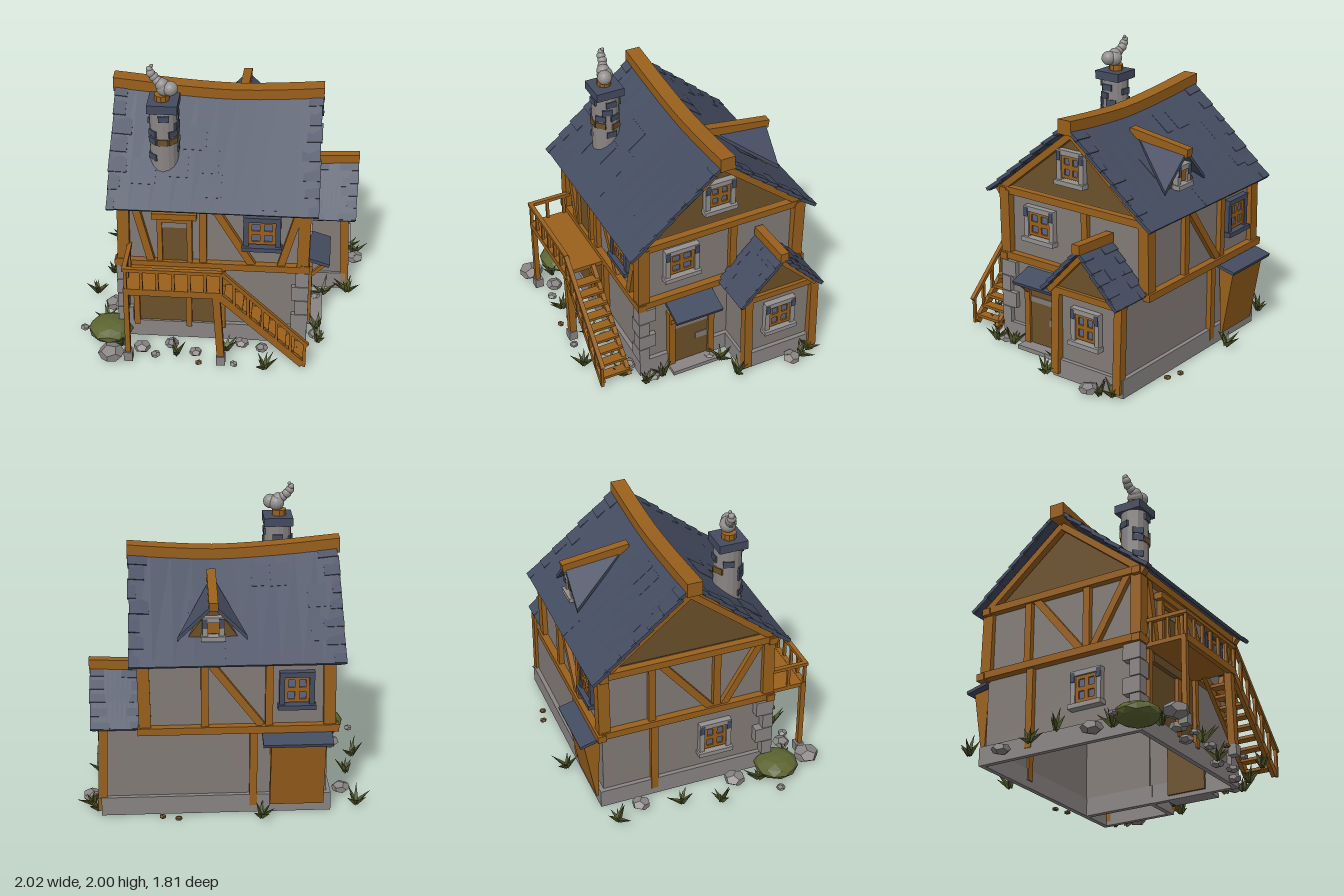
import * as THREE from 'three';
import { ConvexGeometry } from 'three/addons/geometries/ConvexGeometry.js';

const mat = (name, color, side = THREE.FrontSide) => {
  const m = new THREE.MeshStandardMaterial({ color, side, flatShading: true });
  m.name = name;
  return m;
};
const WOOD = mat('wood', 0x99601c), PANEL = mat('darkWood', 0x6c512a), WALL = mat('plaster', 0x837c78, THREE.DoubleSide);
const STONE = mat('stone', 0x898584), PALE = mat('paleStone', 0x949190), SLATE = mat('slate', 0x444c60), GLASS = mat('glass', 0x586689);
const GREEN = mat('moss', 0x5c6431), LEAF = mat('leaf', 0x4e5629, THREE.DoubleSide);

let seed = 7;
const rnd = (a = 0, b = 1) => {
  seed = (seed * 16807) % 2147483647;
  return a + (b - a) * seed / 2147483647;
};

export function createModel() {
  const root = new THREE.Group();
  root.name = 'cottage';
  const add = (name, geo, m, parent = root) => {
    const mesh = new THREE.Mesh(geo, m);
    mesh.name = name;
    parent.add(mesh);
    return mesh;
  };
  const group = (name) => {
    const g = new THREE.Group();
    g.name = name;
    root.add(g);
    return g;
  };
  const V = (...p) => new THREE.Vector3(...p);
  // Box given by its min and max on each axis
  const box = (name, m, x0, x1, y0, y1, z0, z1, parent = root) => {
    const b = add(name, new THREE.BoxGeometry(x1 - x0, y1 - y0, z1 - z0), m, parent);
    b.position.set((x0 + x1) / 2, (y0 + y1) / 2, (z0 + z1) / 2);
    return b;
  };
  // Timber between two points
  const beam = (name, a, b, w = 0.045, h = w, m = WOOD, parent = root) => {
    const A = V(...a), B = V(...b), d = B.clone().sub(A);
    const mesh = add(name, new THREE.BoxGeometry(w, h, d.length()), m, parent);
    mesh.position.copy(A).add(B).multiplyScalar(0.5);
    if (Math.abs(d.x) + Math.abs(d.z) < 0.02) mesh.up.set(0, 0, 1);
    mesh.lookAt(B);
    return mesh;
  };
  // Four walls, open above and below
  const shell = (name, ...r) => {
    const g = box(name, WALL, ...r).geometry;
    g.setIndex([...g.index.array].filter((_, i) => i < 12 || i > 23));
    g.clearGroups();
  };
  // Low ring of masonry around a wall
  const plinth = (x0, x1, z0, z1, t = 0.035) => {
    for (const z of [z0, z1 - t]) box('plinth', STONE, x0, x1, 0, 0.13, z, z + t);
    for (const x of [x0, x1 - t]) box('plinth', STONE, x, x + t, 0, 0.13, z0 + t, z1 - t);
  };
  // Triangular gable block running along x
  const gable = (name, x0, x1, zA, zB, y0, zTop, yTop) => add(name, new ConvexGeometry(
    [x0, x1].flatMap(x => [V(x, y0, zA), V(x, y0, zB), V(x, yTop, zTop)])), PANEL);

  // One slope: a broad slab, stepped slates at both ends, a few loose slates
  const slope = (name, x0, x1, [z0, y0], [z1, y1], courses, loose, sag) => {
    const g = group(name);
    const plate = (part, xa, xb, t0, t1, liftLow, liftHigh) => {
      const az = z0 + (z1 - z0) * t0, ay = y0 + (y1 - y0) * t0 + liftLow;
      const bz = z0 + (z1 - z0) * t1, by = y0 + (y1 - y0) * t1 + liftHigh;
      const geo = new THREE.BoxGeometry(xb - xa, 0.024, Math.hypot(bz - az, by - ay), 10, 1, 1);
      geo.rotateX(Math.atan2(ay - by, bz - az));
      geo.translate((xa + xb) / 2, (ay + by) / 2 - 0.01, (az + bz) / 2);
      const p = geo.attributes.position;
      for (let v = 0; v < p.count; v++) p.setY(v, p.getY(v) + sag(p.getX(v)) * (p.getY(v) - y0) / (y1 - y0));
      add(part, geo, SLATE, g);
    };
    plate('roofSlab', x0 + 0.012, x1 - 0.012, 0.005, 1, 0.008, 0.004);
    for (let i = 0; i < courses; i++) for (const s of [0, 1]) {
      const w = rnd(0.05, 0.14), x = s ? x1 - w + rnd(-0.006, 0.006) : x0 + rnd(-0.006, 0.006);
      plate('edgeSlate', x, x + w, i / courses + rnd(-0.012, 0.01), Math.min(1, (i + 1.2) / courses), 0.015, 0);
    }
    for (let i = 0; i < loose; i++) {
      const x = rnd(x0 + 0.1, x1 - 0.3), t = rnd(0, 0.75);
      plate('looseSlate', x, x + rnd(0.1, 0.2), t, t + 0.2, 0.011, 0.008);
    }
  };
  const ridge = (name, x0, x1, y, z, w, h, sag) => {
    const geo = new THREE.BoxGeometry(x1 - x0, h, w, 10, 1, 1).translate((x0 + x1) / 2, y, z);
    const p = geo.attributes.position;
    for (let v = 0; v < p.count; v++) p.setY(v, p.getY(v) + sag(p.getX(v)));
    add(name, geo, WOOD);
  };
  // Window facing +z, turned by ry
  const windowAt = (name, x, y, z, ry, w, h, frame) => {
    const g = group(name), a = w / 2, b = h / 2, t = 0.035;
    g.position.set(x, y, z);
    g.rotation.y = ry;
    box('pane', GLASS, -a + t, a - t, -b + t, b - t, -0.01, 0.015, g);
    for (const s of [-1, 1]) {
      box('jamb', frame, s * (a - t / 2) - t / 2, s * (a - t / 2) + t / 2, -b, b, -0.03, 0.035, g);
      box('sashSide', WOOD, s * (a - t - 0.011) - 0.011, s * (a - t - 0.011) + 0.011, -b + t, b - t, -0.02, 0.025, g);
      box('sashRail', WOOD, -a + t, a - t, s * (b - t - 0.011) - 0.011, s * (b - t - 0.011) + 0.011, -0.02, 0.025, g);
    }
    box('lintel', frame, -a, a, b - t, b, -0.03, 0.04, g);
    box('sill', frame, -a - 0.01, a + 0.01, -b - 0.01, -b + 0.022, -0.03, 0.055, g);
    box('mullion', WOOD, -0.015, 0.015, -b + t, b - t, -0.02, 0.025, g);
    box('crossbar', WOOD, -a + t, a - t, -0.015, 0.015, -0.02, 0.025, g);
    if (frame === PALE) for (const s of [-1, 1]) box('frameCap', SLATE, s * (a - t / 2) - 0.016, s * (a - t / 2) + 0.016, b - 0.075, b - 0.01, 0.03, 0.042, g);
  };

  // Main walls, plinth and gables
  plinth(-0.67, 0.6, -0.75, 0.49);
  shell('lowerWalls', -0.64, 0.57, 0.1, 0.62, -0.72, 0.46);
  shell('upperWalls', -0.65, 0.555, 0.6, 1.13, -0.72, 0.455);
  gable('mainGable', -0.63, 0.555, 0.47, -0.71, 1.11, -0.12, 1.58);

  // Floor beams, eave beams, corner posts
  for (const [y, zs] of [[0.615, [0.47, -0.74]], [1.09, [0.47, -0.715]]]) {
    for (const z of zs) beam('longBeam', [-0.71, y, z], [0.61, y, z], 0.06, 0.05);
    for (const x of [-0.67, 0.575]) beam('crossBeam', [x, y + 0.01, 0.5], [x, y + 0.01, -0.74], 0.06, 0.05);
  }
  for (const x of [-0.65, 0.56]) {
    for (const z of [0.455, -0.715]) beam('cornerPost', [x, 0.6, z], [x + 0.01, 1.1, z], 0.08);
    for (const z of [0.52, -0.75]) beam('bargeBoard', [x * 1.03, 1.075, z], [x * 1.03, 1.59, -0.12], 0.05, 0.045);
  }
  // Timber framing: front, back, sides
  const framing = [
    [[-0.11, 0.62, 0.465], [-0.11, 1.1, 0.465]], [[-0.05, 1.1, 0.465], [0.22, 0.63, 0.465]],
    [[-0.57, 1.1, 0.465], [-0.46, 0.62, 0.465]], [[0.54, 1.1, 0.465], [0.41, 0.62, 0.465]],
    [[0.17, 0.62, -0.73], [0.17, 1.09, -0.73]], [[-0.25, 0.62, -0.73], [-0.25, 1.09, -0.73]],
    [[0.14, 1.09, -0.73], [-0.2, 0.64, -0.73]],
    [[-0.15, 0.05, -0.73], [-0.15, 0.6, -0.73]], [[0.565, 0.62, -0.22], [0.565, 1.1, -0.22]],
    [[-0.66, 0.62, -0.38], [-0.66, 1.1, -0.38]], [[-0.66, 0.62, 0.08], [-0.66, 1.1, 0.08]],
    [[-0.66, 1.1, -0.33], [-0.66, 0.64, 0.04]], [[-0.66, 1.1, 0.4], [-0.66, 0.64, 0.13]],
    [[-0.65, 0.05, -0.36], [-0.65, 0.6, -0.36]],
  ];
  for (const [a, b] of framing) beam('frameTimber', a, b, 0.05, 0.05);

  // Main roof with sagging ridge
  const sag = x => -0.06 * Math.max(0, 1 - Math.abs((x - 0.06) / 0.8) ** 1.5);
  slope('frontRoof', -0.745, 0.655, [0.57, 1.085], [-0.12, 1.685], 7, 6, sag);
  slope('backRoof', -0.745, 0.655, [-0.805, 1.085], [-0.12, 1.685], 7, 6, sag);
  ridge('ridgeBeam', -0.76, 0.66, 1.675, -0.12, 0.105, 0.1, sag);

  // Back dormer
  const r0 = V(0.11, 1.475, -0.7), r1 = V(0.1, 1.52, -0.28);
  for (const e of [V(-0.11, 1.25, -0.69), V(0.34, 1.25, -0.69)]) {
    const top = [r0, r1, e], low = top.map(p => p.clone().add(V(0, -0.03, 0)));
    add('dormerSlope', new ConvexGeometry([...top, ...low]), SLATE);
  }
  add('dormerGable', new ConvexGeometry([V(-0.07, 1.2, -0.64), V(0.29, 1.2, -0.64), V(0.11, 1.45, -0.64), V(0.11, 1.44, -0.33)]), PANEL);
  beam('dormerRidge', [0.11, 1.46, -0.72], [0.105, 1.525, -0.25], 0.06, 0.06);
  windowAt('dormerWindow', 0.11, 1.3, -0.645, Math.PI, 0.14, 0.15, PALE);

  // Side annex
  const tilt = x => 0.05 * (x - 0.92);
  plinth(0.56, 0.86, -0.75, -0.17);
  shell('annexWalls', 0.56, 0.83, 0.1, 0.64, -0.72, -0.19);
  gable('annexGable', 0.57, 0.84, -0.16, -0.7, 0.61, -0.42, 0.89);
  slope('annexFrontRoof', 0.575, 0.92, [-0.115, 0.62], [-0.42, 0.955], 5, 1, tilt);
  slope('annexBackRoof', 0.575, 0.92, [-0.735, 0.62], [-0.42, 0.955], 5, 1, tilt);
  ridge('annexRidge', 0.57, 0.925, 0.97, -0.42, 0.06, 0.065, tilt);
  beam('annexBeam', [0.84, 0.62, -0.16], [0.84, 0.62, -0.7], 0.05, 0.045);
  for (const z of [-0.2, -0.71]) {
    beam('annexPost', [0.855, 0.03, z], [0.835, 0.62, z], 0.06);
    beam('annexRafter', [0.86, 0.61, z + (z > -0.4 ? 0.05 : 0)], [0.86, 0.9, -0.42], 0.035);
  }

  // Windows
  windowAt('frontWindow', 0.285, 0.895, 0.46, 0, 0.25, 0.25, SLATE);
  windowAt('rightWindow', 0.56, 0.9, 0.165, Math.PI / 2, 0.25, 0.24, PALE);
  windowAt('gableWindow', 0.56, 1.36, -0.11, Math.PI / 2, 0.22, 0.23, PALE);
  windowAt('annexWindow', 0.835, 0.41, -0.445, Math.PI / 2, 0.23, 0.25, PALE);
  windowAt('backWindow', -0.43, 0.89, -0.725, Math.PI, 0.23, 0.25, SLATE);
  windowAt('leftWindow', -0.645, 0.37, 0.08, -Math.PI / 2, 0.23, 0.25, PALE);

  // Upper front door
  box('upperDoor', PANEL, -0.4, -0.2, 0.62, 0.99, 0.44, 0.475);
  box('doorPatch', WALL, -0.39, -0.21, 0.905, 0.945, 0.474, 0.48);
  for (const x of [-0.4, -0.2]) beam('doorJamb', [x, 0.62, 0.47], [x, 0.99, 0.47], 0.035, 0.05);
  beam('doorHead', [-0.4, 0.97, 0.475], [-0.2, 0.97, 0.475], 0.05, 0.03);
  beam('doorLintel', [-0.45, 1.01, 0.48], [-0.15, 1.01, 0.48], 0.07, 0.045);
  // Lower front store doors
  box('storeDoor', PANEL, -0.56, 0.02, 0.13, 0.57, 0.44, 0.475);
  box('storeLintel', PANEL, -0.54, -0.18, 0.5, 0.56, 0.46, 0.505);
  for (const x of [-0.57, -0.21, 0.02]) beam('storePost', [x, 0.1, 0.48], [x, x === -0.21 ? 0.5 : 0.6, 0.48], 0.04);
  // Side door with canopy
  box('sideDoor', PANEL, 0.55, 0.605, 0.03, 0.48, -0.04, 0.25);
  box('sideDoorPatch', WALL, 0.604, 0.611, 0.34, 0.38, -0.02, 0.23);
  box('sideDoorPatch', WALL, 0.604, 0.611, 0.19, 0.24, -0.02, 0.07);
  for (const z of [0.255, -0.045]) {
    beam('sideJamb', [0.6, 0.02, z], [0.6, 0.5, z], 0.045);
    beam('canopyBrace', [0.6, 0.4, z], [0.71, 0.51, z], 0.025);
  }
  beam('sideLintel', [0.6, 0.48, 0.28], [0.6, 0.48, -0.07], 0.05, 0.04);
  beam('canopy', [0.57, 0.56, 0.105], [0.74, 0.505, 0.105], 0.35, 0.025, SLATE);
  box('doorStep', STONE, 0.58, 0.7, 0, 0.03, -0.06, 0.28);
  // Rear hatch and its roof
  add('hatch', new ConvexGeometry([-0.62, -0.26].flatMap(x => [V(x, 0.06, -0.75), V(x, 0.06, -0.765), V(x, 0.56, -0.73), V(x, 0.54, -0.845)])), WOOD);
  beam('hatchRoof', [-0.435, 0.585, -0.72], [-0.435, 0.545, -0.88], 0.46, 0.022, SLATE);

  // Corner stones
  for (const [x, s] of [[-0.65, -1], [0.575, 1]]) for (let i = 0; i < 4; i++) {
    const w = i % 2 ? 0.06 : 0.085;
    box('cornerStone', STONE, s < 0 ? x - 0.05 : x - w, s < 0 ? x + w - 0.03 : x + 0.03, 0.13 + i * 0.115, 0.24 + i * 0.115, 0.42 - (i % 2) * 0.05, 0.495);
  }

  // Balcony
  for (let i = 0; i < 4; i++) box('deckBoard', WOOD, -0.615, 0.02, 0.572, 0.602, 0.47 + i * 0.076, 0.546 + i * 0.076);
  beam('deckEdge', [-0.61, 0.58, 0.765], [0.04, 0.58, 0.765], 0.035, 0.05);
  beam('balconyRail', [-0.62, 0.755, 0.77], [0.055, 0.755, 0.77], 0.03, 0.025);
  beam('balconySideRail', [-0.605, 0.755, 0.78], [-0.605, 0.755, 0.47], 0.03, 0.025);
  for (let i = 0; i < 7; i++) beam('baluster', [-0.6 + i * 0.106, 0.59, 0.77], [-0.6 + i * 0.106, 0.755, 0.77], 0.02);
  for (const z of [0.52, 0.645]) beam('baluster', [-0.605, 0.59, z], [-0.605, 0.755, z], 0.02);
  beam('balconyPost', [-0.6, 0.05, 0.76], [-0.6, 0.6, 0.76], 0.035);
  beam('balconyPost', [0.03, 0.05, 0.75], [0, 0.58, 0.75], 0.05);
  for (const x of [-0.6, 0.03]) box('postStone', STONE, x - 0.03, x + 0.03, 0, 0.07, 0.725, 0.785);

  // Stairs and handrail
  for (const z of [0.57, 0.765]) beam('stringer', [0.01, 0.585, z], [0.585, 0.035, z], 0.03, 0.05);
  for (let i = 0; i < 9; i++) box('tread', WOOD, 0.05 + i * 0.058, 0.12 + i * 0.058, 0.515 - i * 0.056, 0.535 - i * 0.056, 0.56, 0.765);
  beam('handrail', [0.04, 0.765, 0.775], [0.615, 0.205, 0.775], 0.03, 0.025);
  for (let i = 0; i < 6; i++) {
    const x = 0.12 + i * 0.095;
    beam('stairBaluster', [x, 0.48 - (x - 0.12) * 0.957, 0.775], [x, 0.69 - (x - 0.12) * 0.975, 0.775], 0.02);
  }

  // Chimney with inset bricks, pot and smoke: brick height, angle, brown or slate
  const cx = -0.38, cz = 0.265;
  add('chimney', new THREE.CylinderGeometry(0.094, 0.098, 0.58, 16), STONE).position.set(cx, 1.43, cz);
  box('chimneyCap', SLATE, cx - 0.1, cx + 0.1, 1.7, 1.76, cz - 0.1, cz + 0.1);
  add('chimneyPot', new THREE.CylinderGeometry(0.05, 0.05, 0.04, 10), WOOD).position.set(cx - 0.01, 1.78, cz);
  const bricks = [[1.66, 0.1, 0], [1.54, -0.8, 0], [1.54, 0.8, 0], [1.485, -0.8, 0], [1.485, 0, 1], [1.485, 0.8, 1], [1.365, -0.8, 0],
    [1.65, 1.6, 0], [1.59, 1.3, 0], [1.54, 1.9, 0], [1.47, 2, 1], [1.41, 1.6, 0], [1.62, 3.1, 0], [1.54, 3.6, 1], [1.6, -1.9, 0]];
  for (const [y, a, brown] of bricks) {
    const b = add('chimneyBrick', new THREE.BoxGeometry(0.072, 0.044, 0.03), brown ? PANEL : SLATE);
    b.position.set(cx + Math.sin(a) * 0.085, y, cz + Math.cos(a) * 0.085);
    b.rotation.y = a;
  }
  const puffs = [[-0.37, 1.845, 0.265, 0.055], [-0.33, 1.85, 0.285, 0.05], [-0.385, 1.87, 0.27, 0.045], [-0.415, 1.89, 0.26, 0.033],
    [-0.44, 1.915, 0.25, 0.032], [-0.46, 1.94, 0.25, 0.03], [-0.468, 1.965, 0.245, 0.022], [-0.455, 1.988, 0.24, 0.012]];
  for (const [x, y, z, r] of puffs) add('smoke', new THREE.IcosahedronGeometry(r, 2), PALE).position.set(x, y, z);

  // Rocks and moss mound: x, z, radius
  const rocks = [[-0.72, 0.76, 0.09], [-0.77, 0.19, 0.075], [-0.77, -0.5, 0.065], [-0.95, 0.46, 0.032], [0.93, -0.52, 0.065], [0.12, 0.78, 0.03], [-0.52, 0.66, 0.06],
    [-0.32, 0.6, 0.05], [-0.15, 0.68, 0.045], [0.16, 0.56, 0.05], [0.3, 0.6, 0.045], [0.66, 0.42, 0.05], [-0.42, 0.72, 0.035], [0.48, 0.52, 0.05], [0.65, -0.02, 0.04]];
  const rock = (name, geo, m, x, z, r, h) => {
    const k = add(name, geo, m);
    k.scale.set(r, r * h, r);
    k.rotation.y = x * 9;
    k.position.set(x, r * h * 0.94, z);
  };
  const chunk = new THREE.DodecahedronGeometry(1, 0);
  for (const [x, z, r] of rocks) rock('rock', chunk, STONE, x, z, r, 0.6);
  rock('mossMound', new THREE.IcosahedronGeometry(1, 1), GREEN, -0.755, 0.51, 0.155, 0.45);
  for (const [x, z] of [[0.35, -0.84], [0.455, -0.81], [-0.12, 0.78]]) rock('smallClod', chunk, PANEL, x, z, 0.025, 0.6);

  // Leaf tufts
  const tufts = [[-0.85, -0.69], [-0.84, -0.23], [-0.92, 0.03], [-0.2, -0.84], [0.7, -0.08], [0.88, -0.68], [0.67, 0.35], [0.33, 0.8], [0.88, -0.12],
    [0.92, -0.6], [-0.8, 0.36], [-0.66, 0.62], [0.54, 0.6], [-0.28, 0.7], [0.06, 0.62], [0.68, 0.48]];
  for (const [x, z] of tufts) {
    const g = group('leafTuft');
    g.position.set(x, 0, z);
    for (let i = 0; i < 7; i++) {
      const h = rnd(0.08, 0.14), blade = add('blade', new THREE.ConeGeometry(0.021, h, 3).translate(0, h / 2, 0), LEAF, g);
      blade.position.y = 0.015;
      blade.rotation.set(rnd(0.3, 1.15), i * 0.9 + rnd(), 0, 'YXZ');
    }
  }
  return root;
}
